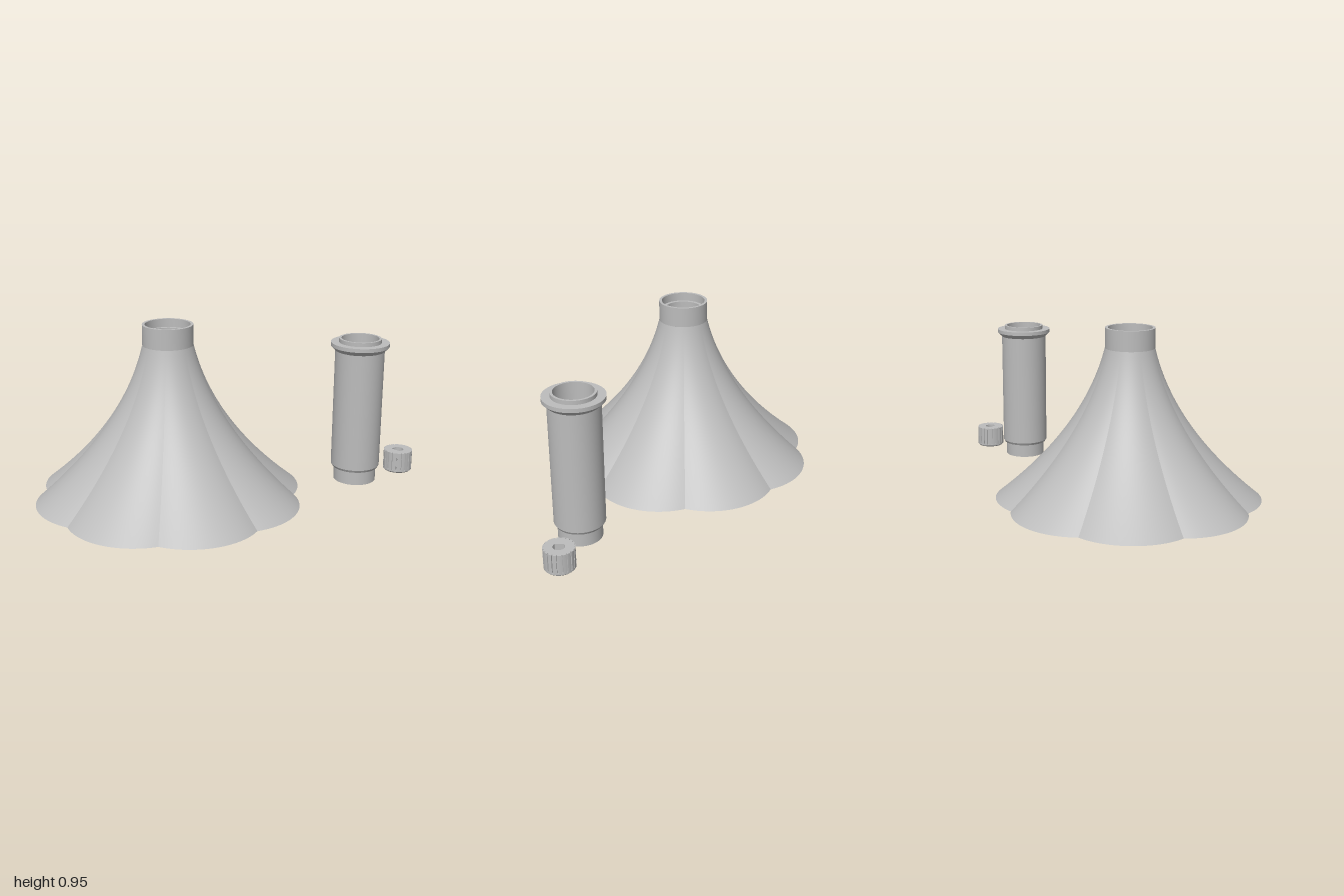
import * as THREE from 'three';
import { mergeGeometries, toCreasedNormals } from 'three/addons/utils/BufferGeometryUtils.js';

const grey = new THREE.MeshStandardMaterial({ color: 0xbcbcbc });
grey.name = 'light grey plastic';

const LOBES = 8;
const STEP = (Math.PI * 2) / LOBES;
const TOP_Y = 0.84;
const FOOT_R = 0.708;

function mesh(name, geometry, parent) {
  const m = new THREE.Mesh(geometry, grey);
  m.name = name;
  parent.add(m);
  return m;
}

// Turned part: closed profile of [radius, y], outside going up
function turned(points, segments = 64) {
  const profile = points.map(([r, y]) => new THREE.Vector2(r, y));
  return toCreasedNormals(new THREE.LatheGeometry(profile, segments), 0.4);
}

// Flared side: t = 0 at the collar, t = 1 at the hem
const flare = new THREE.QuadraticBezierCurve(
  new THREE.Vector2(0.135, TOP_Y),
  new THREE.Vector2(0.24, 0.4),
  new THREE.Vector2(FOOT_R, 0)
);

// Outline of one lobe: an arc of a circle set off the axis, fading to a plain circle upward
function shadePoint(phi, t, inset) {
  const p = flare.getPoint(t);
  const d = 0.36;
  const arc = d * Math.cos(phi) + Math.sqrt(0.375 ** 2 - (d * Math.sin(phi)) ** 2);
  const r = p.x * (1 + t * (arc / FOOT_R - 1)) - inset * (0.015 + 0.007 * t);
  return [Math.sin(phi) * r, p.y, Math.cos(phi) * r];
}

// Bends a grid by a rule and repeats it round the axis, keeping a crease between lobes
function lobed(cols, rows, rule) {
  const sector = new THREE.PlaneGeometry(1, 1, cols, rows);
  const pos = sector.attributes.position;
  for (let i = 0; i < pos.count; i++) {
    pos.setXYZ(i, ...rule(pos.getX(i) * STEP, 0.5 - pos.getY(i)));
  }
  sector.computeVertexNormals();
  const all = [];
  for (let k = 0; k < LOBES; k++) all.push(sector.clone().rotateY((k + 0.5) * STEP));
  return mergeGeometries(all);
}

function makeShade() {
  const g = new THREE.Group();
  g.name = 'shade';
  mesh('shadeOutside', lobed(20, 32, (phi, t) => shadePoint(phi, t, 0)), g);
  mesh('shadeInside', lobed(20, 32, (phi, t) => shadePoint(-phi, t, 1)), g);
  mesh('shadeHem', lobed(20, 1, (phi, t) => shadePoint(phi, 1, t)), g);
  // Collar with an inner ledge
  mesh('shadeCollar', turned([
    [0.12, TOP_Y], [0.135, TOP_Y], [0.135, 0.95], [0.12, 0.95], [0.12, 0.905],
    [0.102, 0.905], [0.102, 0.885], [0.12, 0.885], [0.12, TOP_Y],
  ]), g);
  g.position.set(-0.292, 0, 0);
  return g;
}

function makeTube() {
  const g = new THREE.Group();
  g.name = 'tube';
  mesh('flangedTube', turned([
    [0.103, 0], [0.117, 0], [0.117, 0.078], [0.127, 0.078], [0.135, 0.092],
    [0.135, 0.753], [0.16, 0.777], [0.16, 0.798], [0.116, 0.798],
    [0.116, 0.82], [0.103, 0.82], [0.103, 0],
  ]), g);
  g.position.set(0.625, 0, 0.546);
  return g;
}

function makeKnob() {
  const g = new THREE.Group();
  g.name = 'knob';
  const R = 0.081;

  // Grooved outline
  const grooves = 20;
  const pitch = (Math.PI * 2) / grooves;
  const shape = new THREE.Shape();
  const steps = [[0, R], [0.25, R], [0.5, R], [0.75, R], [0.77, R - 0.007], [0.98, R - 0.007]];
  for (let k = 0; k < grooves; k++) {
    for (const [f, r] of steps) {
      const a = (k + f) * pitch;
      const x = Math.cos(a) * r, y = Math.sin(a) * r;
      if (k === 0 && f === 0) shape.moveTo(x, y);
      else shape.lineTo(x, y);
    }
  }
  shape.closePath();

  // D-shaped shaft socket, flat on the right-hand side of the model
  const socket = new THREE.Path();
  socket.absarc(0, 0, 0.031, -2.35, 2.35, false);
  socket.closePath();
  shape.holes.push(socket);

  const body = new THREE.ExtrudeGeometry(shape, { depth: 0.105, bevelEnabled: false, curveSegments: 16 });
  body.rotateX(-Math.PI / 2);
  mesh('knurledGrip', body, g).position.y = 0.015;

  // Solid chamfered base closing the socket
  mesh('knobBase', turned([[0, 0], [0.074, 0], [R, 0.007], [R, 0.016], [0, 0.016]], 48), g);
  g.position.set(0.919, 0, 0.625);
  return g;
}

export function createModel() {
  const model = new THREE.Group();
  model.name = 'lampParts';
  model.add(makeShade(), makeTube(), makeKnob());
  return model;
}
